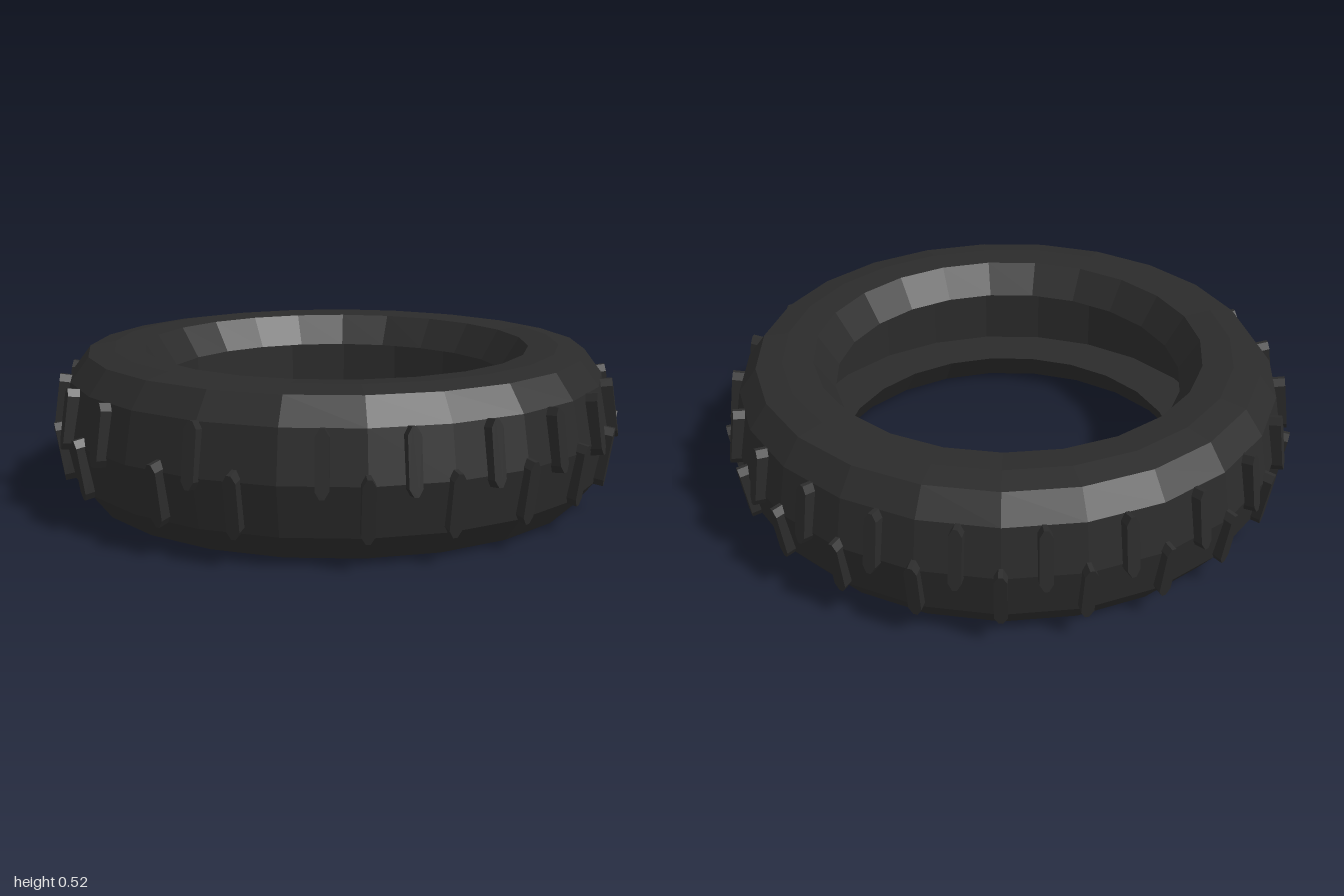
import * as THREE from 'three';

const MID = 0.2625;   // mid height of the tire
const SIDES = 23;     // facets around
const SLOTS = SIDES * 2; // tread positions, alternating rows

export function createModel() {
  const group = new THREE.Group();
  group.name = 'tire';
  const rubber = new THREE.MeshStandardMaterial({ color: 0x2b2b2b, flatShading: true });

  // Carcass: upper half section (radius, height above middle), crown to cavity
  const half = [
    [0.97, 0], [0.938, 0.165], [0.875, 0.248], [0.785, 0.2625],
    [0.68, 0.255], [0.61, 0.145], [0.8, 0.145],
  ];
  const lower = half.slice(1).reverse().map(([r, h]) => [r, -h]);
  const section = [...lower, ...half, lower[0]];
  const carcass = new THREE.Mesh(
    new THREE.LatheGeometry(
      section.map(([r, h]) => new THREE.Vector2(r, MID + h)), SIDES, Math.PI / 2),
    rubber);
  carcass.name = 'carcass';
  group.add(carcass);

  // Tread lug: long bar with pointed ends
  const w = 0.021, l = 0.102, tip = 0.024, depth = 0.08;
  const outline = new THREE.Shape([
    [-w, -l + tip], [-0.007, -l], [0.007, -l], [w, -l + tip],
    [w, l - tip], [0.007, l], [-0.007, l], [-w, l - tip],
  ].map(([x, y]) => new THREE.Vector2(x, y)));
  const lugGeometry = new THREE.ExtrudeGeometry(outline, { depth, bevelEnabled: false });
  lugGeometry.translate(0, 0, -depth);

  const tread = new THREE.Group();
  tread.name = 'tread';
  for (let k = 0; k < SLOTS; k++) {
    if (k === 8 || k === 12) continue; // two gaps where the rows swap
    const swapped = k > 8 && k < 12;
    const row = (k % 2 === 1) !== swapped ? 1 : -1; // 1 upper, -1 lower
    const angle = (k / SLOTS) * Math.PI * 2;
    const lug = new THREE.Mesh(lugGeometry, rubber);
    lug.name = row > 0 ? 'upperLug' : 'lowerLug';
    lug.rotation.order = 'YXZ';
    lug.rotation.set(-row * 0.15, Math.PI / 2 - angle, 0);
    lug.position.set(0.984 * Math.cos(angle), MID + row * 0.072, 0.984 * Math.sin(angle));
    tread.add(lug);
  }
  group.add(tread);
  return group;
}
